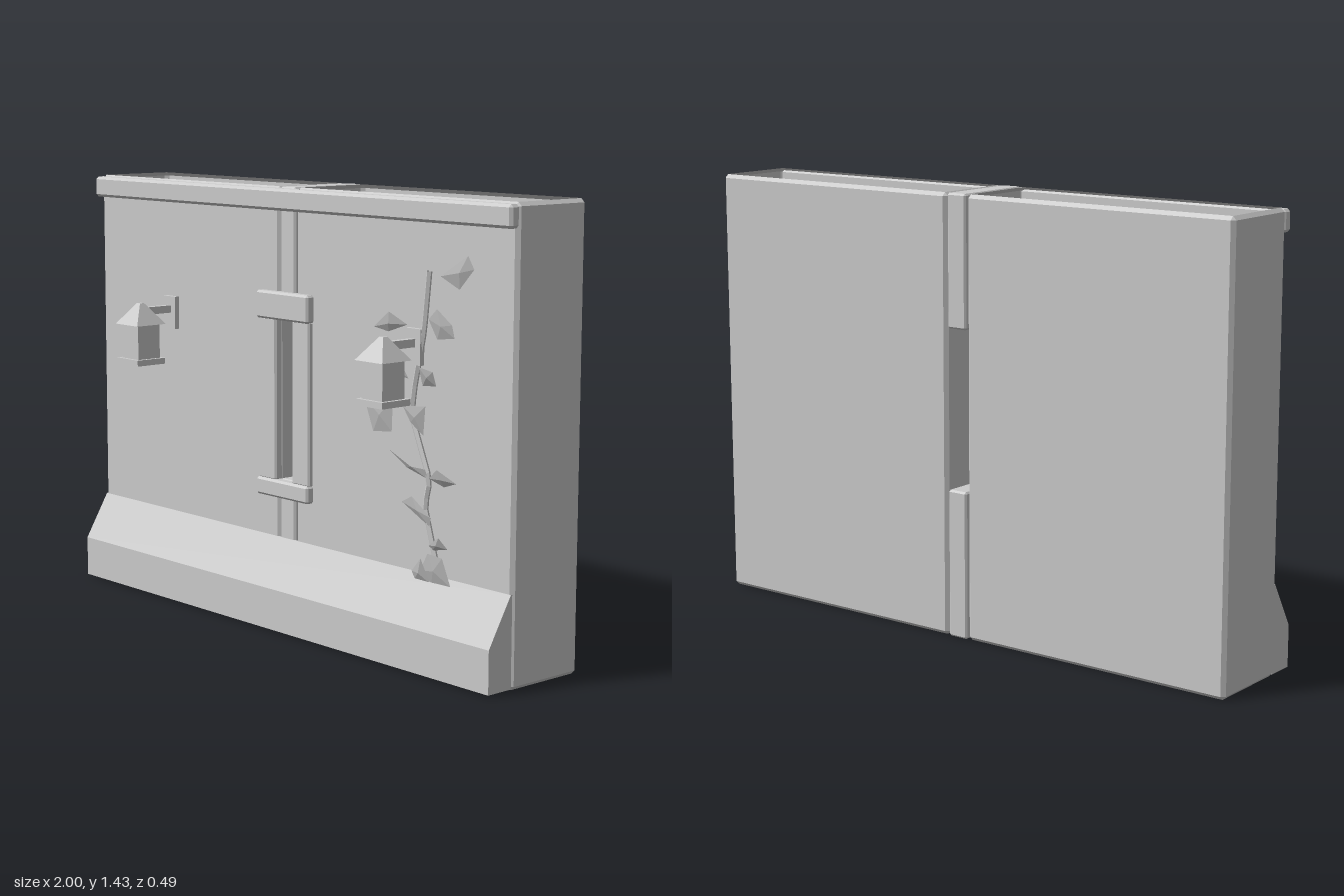
import * as THREE from 'three';

const stone = new THREE.MeshStandardMaterial({ color: 0xcccccc, side: THREE.DoubleSide });
stone.name = 'paleStone';

function add(parent, name, geometry) {
  const mesh = new THREE.Mesh(geometry, stone);
  mesh.name = name;
  parent.add(mesh);
  return mesh;
}

function flatGeometry(positions) {
  const g = new THREE.BufferGeometry();
  g.setAttribute('position', new THREE.Float32BufferAttribute(positions, 3));
  g.computeVertexNormals();
  return g;
}

// Box with chamfered edges; open = no top and bottom faces
function bevelBox(x0, x1, y0, y1, z0, z1, b, open = false) {
  const ring = (y, d) => {
    const [l, r, k, f] = [x0 + d, x1 - d, z0 + d, z1 - d];
    const c = d > 0 ? 0 : b;
    return [[r - c, f], [r, f - c], [r, k + c], [r - c, k],
      [l + c, k], [l, k + c], [l, f - c], [l + c, f]].map(([x, z]) => [x, y, z]);
  };
  const rings = [ring(y0, b), ring(y0 + b, 0), ring(y1 - b, 0), ring(y1, b)];
  const out = [];
  const tri = (...pts) => pts.forEach((p) => out.push(...p));
  for (let j = 0; j < 3; j++) {
    for (let i = 0; i < 8; i++) {
      const n = (i + 1) % 8, lo = rings[j], hi = rings[j + 1];
      tri(lo[i], lo[n], hi[n]);
      tri(lo[i], hi[n], hi[i]);
    }
  }
  if (!open) {
    for (let i = 1; i < 7; i++) {
      tri(rings[3][0], rings[3][i], rings[3][i + 1]);
      tri(rings[0][0], rings[0][i + 1], rings[0][i]);
    }
  }
  return flatGeometry(out);
}

function box(parent, name, w, h, d, x, y, z) {
  add(parent, name, new THREE.BoxGeometry(w, h, d)).position.set(x, y, z);
}

// Wall lantern on a bracket; origin at the wall, on the lantern axis
function lantern(x) {
  const g = new THREE.Group();
  g.name = 'lantern';
  box(g, 'lanternPlate', 0.065, 0.11, 0.018, 0, 0.98, 0.053);
  box(g, 'lanternArm', 0.022, 0.025, 0.13, 0, 0.992, 0.12);
  box(g, 'lanternBody', 0.09, 0.115, 0.09, 0, 0.8925, 0.183);
  box(g, 'lanternFoot', 0.115, 0.02, 0.115, 0, 0.825, 0.183);
  const roof = new THREE.CylinderGeometry(0.012, 0.06 * Math.SQRT2, 0.07, 4, 1).toNonIndexed();
  roof.rotateY(Math.PI / 4);
  roof.computeVertexNormals();
  add(g, 'lanternRoof', roof).position.set(0, 0.985, 0.183);
  g.position.x = x;
  return g;
}

// Leaf outlines as x, y pairs
const LEAVES = [
  [[0.71, 1.2], [0.84, 1.27], [0.855, 1.23], [0.78, 1.165]],
  [[0.42, 1.025], [0.51, 1.08], [0.575, 1.045], [0.48, 1.015]],
  [[0.67, 1.07], [0.715, 1.105], [0.765, 1.06], [0.765, 1.02], [0.69, 1.01]],
  [[0.64, 0.925], [0.695, 0.915], [0.69, 0.87], [0.63, 0.865]],
  [[0.47, 0.895], [0.54, 0.96], [0.57, 0.88]],
  [[0.4, 0.81], [0.53, 0.815], [0.5, 0.71], [0.415, 0.7]],
  [[0.57, 0.8], [0.67, 0.81], [0.635, 0.715], [0.59, 0.75]],
  [[0.515, 0.66], [0.655, 0.615], [0.655, 0.585], [0.575, 0.61]],
  [[0.67, 0.59], [0.72, 0.625], [0.785, 0.59], [0.725, 0.57]],
  [[0.565, 0.505], [0.615, 0.53], [0.68, 0.47], [0.665, 0.44]],
  [[0.67, 0.385], [0.73, 0.42], [0.75, 0.385], [0.68, 0.37]],
  [[0.635, 0.3], [0.685, 0.365], [0.745, 0.36], [0.758, 0.27], [0.675, 0.265]],
  [[0.6, 0.295], [0.655, 0.345], [0.67, 0.265], [0.605, 0.27]],
];

function leafGeometry(outline) {
  const ys = outline.map((p) => p[1]);
  const low = Math.min(...ys), span = Math.max(...ys) - low;
  const pts = outline.map(([x, y]) => [x, y, 0.055 + 0.027 * (y - low) / span]);
  const mid = [0, 1, 2].map((k) => pts.reduce((s, p) => s + p[k], 0) / pts.length);
  mid[2] += 0.006;
  const out = [];
  pts.forEach((p, i) => out.push(...mid, ...pts[(i + 1) % pts.length], ...p));
  return flatGeometry(out);
}

export function createModel() {
  const model = new THREE.Group();
  model.name = 'wallSection';

  // Two hollow wall halves
  add(model, 'rightWall', bevelBox(-1, -0.04, 0, 1.43, -0.245, 0.045, 0.012, true));
  add(model, 'leftWall', bevelBox(0.04, 1, 0, 1.43, -0.245, 0.045, 0.012, true));

  // Filler above and below the slit
  add(model, 'upperFiller', bevelBox(-0.036, 0.036, 1.005, 1.43, -0.245, 0.045, 0.006));
  add(model, 'lowerFiller', bevelBox(-0.036, 0.036, 0, 0.485, -0.245, 0.045, 0.006));

  // Coping strip along the top
  add(model, 'coping', bevelBox(-1, 1, 1.355, 1.425, 0.035, 0.075, 0.009));

  // Sloped plinth
  const profile = new THREE.Shape([[0.04, 0.005], [0.135, 0.005], [0.135, 0.14], [0.046, 0.29], [0.04, 0.29]]
    .map(([z, y]) => new THREE.Vector2(-z, y)));
  const plinth = new THREE.ExtrudeGeometry(profile, { depth: 1.99, bevelEnabled: false });
  plinth.rotateY(Math.PI / 2);
  plinth.translate(-0.995, 0, 0);
  add(model, 'plinth', plinth);

  // Frame around the slit
  const frame = new THREE.Group();
  frame.name = 'slitFrame';
  add(frame, 'lintel', bevelBox(-0.128, 0.125, 1.005, 1.095, 0.03, 0.072, 0.007));
  add(frame, 'sill', bevelBox(-0.128, 0.125, 0.425, 0.482, 0.03, 0.072, 0.007));
  add(frame, 'rightJamb', bevelBox(-0.125, -0.04, 0.478, 1.01, 0.03, 0.062, 0.006));
  add(frame, 'leftJamb', bevelBox(0.038, 0.122, 0.478, 1.01, 0.03, 0.062, 0.006));
  model.add(frame);

  // Lanterns
  model.add(lantern(-0.598), lantern(0.593));

  // Climbing plant
  const ivy = new THREE.Group();
  ivy.name = 'ivy';
  const stem = [[0.65, 1.21], [0.63, 1.03], [0.59, 0.85], [0.58, 0.77], [0.66, 0.58], [0.64, 0.5], [0.7, 0.3]]
    .map(([x, y]) => new THREE.Vector3(x, y, 0.05));
  const path = new THREE.CurvePath();
  for (let i = 1; i < stem.length; i++) path.add(new THREE.LineCurve3(stem[i - 1], stem[i]));
  const tube = new THREE.TubeGeometry(path, 24, 0.01, 5).toNonIndexed();
  tube.computeVertexNormals();
  add(ivy, 'stem', tube);
  LEAVES.forEach((outline) => add(ivy, 'leaf', leafGeometry(outline)));
  model.add(ivy);

  return model;
}
